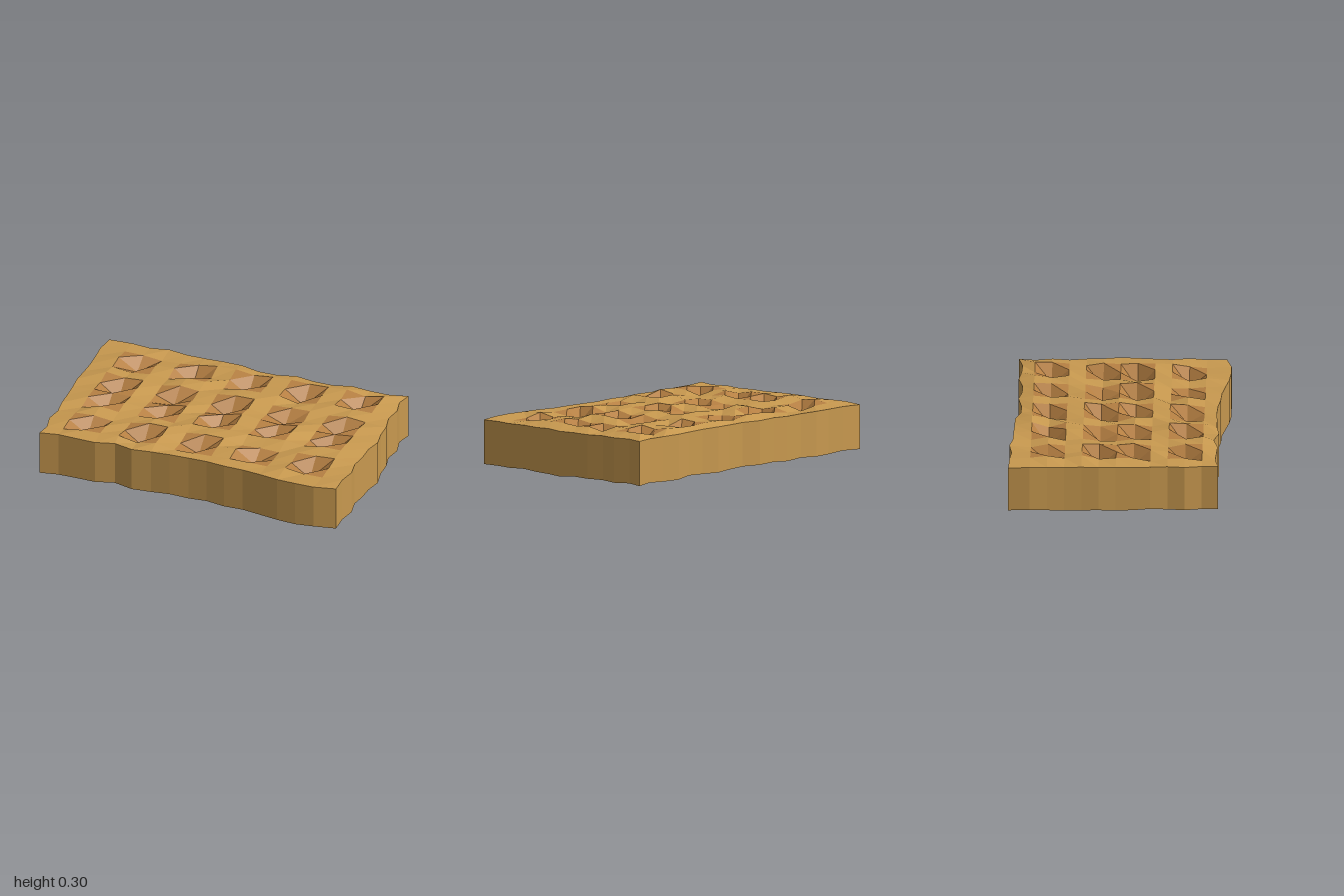
import * as THREE from 'three';

const NX = 16, NZ = 12;               // cells across and deep
const STEP_X = 0.12, STEP_Z = 0.104;
const PIT_COLS = [2, 5, 8, 11, 14];   // grid lines through the pit centres
const PIT_ROWS = [2, 5, 7, 10];

// Ragged outline of the slab, one value per grid line
const BACK = [-0.66, -0.655, -0.645, -0.66, -0.64, -0.64, -0.635, -0.635, -0.6, -0.6, -0.62, -0.6, -0.6, -0.625, -0.61, -0.605, -0.63];
const FRONT = [0.61, 0.59, 0.595, 0.6, 0.575, 0.605, 0.59, 0.59, 0.585, 0.59, 0.605, 0.61, 0.63, 0.65, 0.66, 0.66, 0.63];
const LEFT = [-0.99, -1, -0.99, -0.985, -0.985, -0.99, -0.98, -0.975, -0.97, -0.955, -0.97, -0.945, -0.955];
const RIGHT = [0.96, 0.94, 0.965, 0.95, 0.975, 0.98, 1, 0.98, 0.98, 0.97, 0.99, 0.97, 0.975];

function seededRandom(seed) {
  return () => {
    seed = (seed * 16807) % 2147483647;
    return seed / 2147483647;
  };
}

function facetedMesh(name, points, color) {
  const geometry = new THREE.BufferGeometry().setFromPoints(points);
  geometry.computeVertexNormals();
  const mesh = new THREE.Mesh(geometry, new THREE.MeshStandardMaterial({ color, flatShading: true }));
  mesh.name = name;
  return mesh;
}

export function createModel() {
  const random = seededRandom(4271);
  const group = new THREE.Group();
  group.name = 'waffleSlab';

  // Grid of top points: level edge, bumpy ribs, sunken pit centres
  const grid = [];
  for (let j = 0; j <= NZ; j++) {
    grid.push([]);
    for (let i = 0; i <= NX; i++) {
      const edge = i === 0 || j === 0 || i === NX || j === NZ;
      const pit = PIT_COLS.includes(i) && PIT_ROWS.includes(j);
      const x = i === 0 ? LEFT[j] : i === NX ? RIGHT[j] : (i - NX / 2) * STEP_X;
      const z = j === 0 ? BACK[i] : j === NZ ? FRONT[i] : (j - NZ / 2) * STEP_Z - 0.01;
      const r = random();
      const y = edge ? 0.275 + 0.006 * r : pit ? 0.18 + 0.04 * r : 0.265 + 0.04 * r;
      grid[j].push(new THREE.Vector3(x, y, z));
    }
  }

  // Top faces, sorted into ribs and pits
  const besideLine = (lines, n) => lines.includes(n) || lines.includes(n + 1);
  const ribs = [], pits = [];
  for (let j = 0; j < NZ; j++) {
    for (let i = 0; i < NX; i++) {
      const a = grid[j][i], b = grid[j][i + 1], c = grid[j + 1][i], d = grid[j + 1][i + 1];
      const target = besideLine(PIT_COLS, i) && besideLine(PIT_ROWS, j) ? pits : ribs;
      target.push(a, c, b, b, c, d);
    }
  }

  // Perimeter loop, counter-clockwise from above
  const rim = [];
  for (let j = 0; j < NZ; j++) rim.push(grid[j][0]);
  for (let i = 0; i < NX; i++) rim.push(grid[NZ][i]);
  for (let j = NZ; j > 0; j--) rim.push(grid[j][NX]);
  for (let i = NX; i > 0; i--) rim.push(grid[0][i]);
  const foot = rim.map((p) => new THREE.Vector3(p.x, 0.01 * random(), p.z));

  // Side walls and the underside fan
  const walls = [], underside = [];
  const centre = new THREE.Vector3(0, 0, 0);
  rim.forEach((p, k) => {
    const n = (k + 1) % rim.length;
    walls.push(foot[k], foot[n], rim[n], foot[k], rim[n], p);
    underside.push(centre, foot[n], foot[k]);
  });

  const crust = 0xc8994f, toasted = 0xb57f42;
  group.add(
    facetedMesh('ribs', ribs, crust),
    facetedMesh('pits', pits, toasted),
    facetedMesh('sideWalls', walls, crust),
    facetedMesh('underside', underside, crust)
  );
  return group;
}
